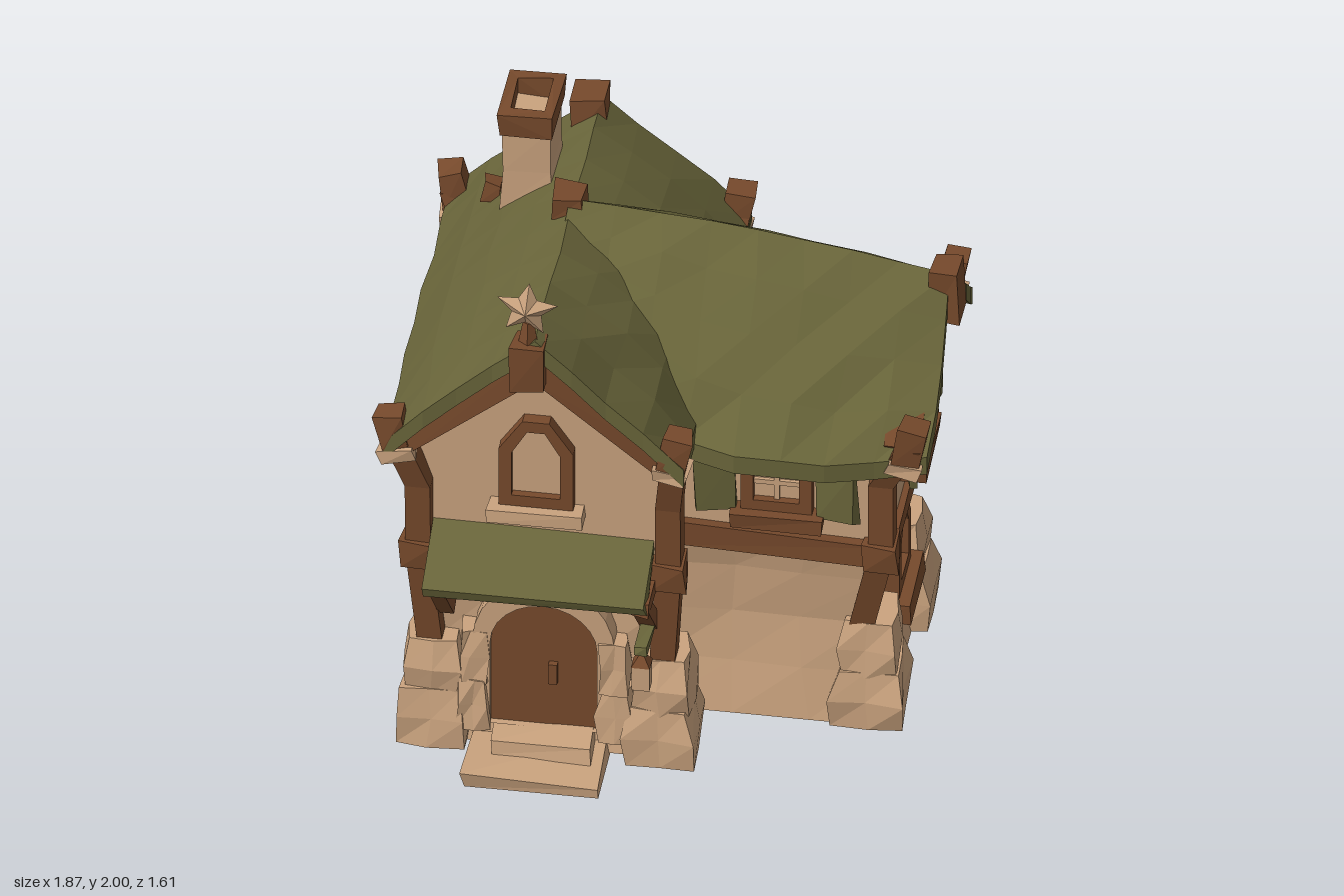
import * as THREE from 'three';

const plaster = new THREE.MeshStandardMaterial({ color: 0xcba47f });
plaster.name = 'plaster and stone';
const timber = new THREE.MeshStandardMaterial({ color: 0x774a2c });
timber.name = 'timber';
const green = new THREE.MeshStandardMaterial({ color: 0x69653a });
green.name = 'roof green';

// repeatable noise in -1..1 from a position
const noise = (x, y, z, s) => {
  const n = Math.sin(x * 127.1 + y * 311.7 + z * 74.7 + s * 53.3) * 4375.85;
  return (n - Math.floor(n)) * 2 - 1;
};

// move every vertex of a geometry by a rule
function warp(geo, rule) {
  const p = geo.attributes.position, v = new THREE.Vector3();
  for (let i = 0; i < p.count; i++) {
    rule(v.fromBufferAttribute(p, i));
    p.setXYZ(i, v.x, v.y, v.z);
  }
  return geo;
}

const roughen = (geo, a, s = 1) => warp(geo, v => {
  const [x, y, z] = [v.x, v.y, v.z].map(n => Math.round(n * 1000) / 1000);
  v.set(v.x + a * noise(x, y, z, s), v.y + a * noise(y, z, x, s + 1), v.z + a * noise(z, x, y, s + 2));
});

// faceted mesh
function add(parent, name, geo, mat, x = 0, y = 0, z = 0) {
  const flat = geo.index ? geo.toNonIndexed() : geo;
  flat.computeVertexNormals();
  const mesh = new THREE.Mesh(flat, mat);
  mesh.name = name;
  mesh.position.set(x, y, z);
  parent.add(mesh);
  return mesh;
}

const box = (w, h, d, ...seg) => new THREE.BoxGeometry(w, h, d, ...seg);

// straight bar between two points
function beam(parent, name, a, b, w, h, mat = timber) {
  const from = new THREE.Vector3(...a), to = new THREE.Vector3(...b);
  const m = add(parent, name, roughen(box(w, h, from.distanceTo(to)), 0.006, a[0]), mat);
  m.position.copy(from).lerp(to, 0.5);
  m.lookAt(to);
}

// square post that follows a bent path
function post(parent, name, path, w) {
  const n = path.length - 1;
  add(parent, name, warp(box(w, 1, w, 1, n, 1), v => {
    const [x, y, z] = path[Math.round((v.y + 0.5) * n)];
    v.set(v.x + x, y, v.z + z);
  }), timber);
}

// ground-floor wall, waisted in the middle and spreading to foot and floor beam
function lowerWall(parent, name, w, d, x, z, spread) {
  const geo = warp(box(w, 0.77, d, 4, 4, 5), v => {
    const k = 1 + spread * (v.y / 0.385) ** 2;
    v.x *= k;
    v.z *= k;
  });
  add(parent, name, warp(geo, v => {
    const r = Math.abs(v.y) < 0.38 ? 0.012 : 0;
    v.x += r * noise(v.x, v.y, v.z, 1);
    v.z += r * noise(v.z, v.x, v.y, 2);
  }), plaster, x, 0.405, z);
}

// tapered stone standing on y, its corners worn off
function stone(parent, name, x, y, z, w, h, d, taper = 0.86) {
  const geo = warp(box(w, h, d, 2, 2, 2), v => {
    const edges = [v.x, v.y, v.z].filter(n => Math.abs(n) > 0.001).length;
    const k = (v.y > 0 ? taper : 1) * (edges === 3 ? 0.92 : 1);
    v.x *= k;
    v.z *= k;
  });
  add(parent, name, warp(geo, v => {
    const r = 0.012, s = x * 7 + z * 3 + y;
    v.x += r * noise(v.x, v.y, v.z, s);
    v.z += r * noise(v.z, v.x, v.y, s);
  }), plaster, x, y + h / 2, z);
}

const polygon = pts => new THREE.Shape(pts.map(p => new THREE.Vector2(...p)));
const extrude = (shape, depth) => new THREE.ExtrudeGeometry(shape, { depth, bevelEnabled: false, curveSegments: 6 });

const archPoints = (w, h, y = 0) => [[-w / 2, y], [w / 2, y], [w / 2, y + h * 0.66],
  [w * 0.18, y + h], [-w * 0.18, y + h], [-w / 2, y + h * 0.66]];
const rectPoints = (w, h, y = 0) => [[-w / 2, y], [w / 2, y], [w / 2, y + h], [-w / 2, y + h]];

// window facing +z, bottom centre at its origin
function addWindow(parent, name, pos, turn, { w, h, arched = true, shutters = false, sill = timber, sillH = 0.06 }) {
  const g = new THREE.Group(), t = 0.043;
  g.name = name;
  const points = arched ? archPoints : rectPoints;
  const outer = polygon(points(w, h));
  outer.holes.push(polygon(points(w - 2 * t, h - 2 * t, t)));
  add(g, 'windowFrame', extrude(outer, 0.075), timber, 0, 0, -0.03);
  add(g, 'windowPane', extrude(polygon(points(w - t, h - t, t / 2)), 0.009), plaster, 0, 0, 0.008);
  if (!arched) {
    add(g, 'mullion', box(0.018, h - t, 0.02), plaster, 0, h / 2, 0.02);
    add(g, 'mullion', box(w - t, 0.018, 0.02), plaster, 0, h / 2, 0.02);
  }
  add(g, 'windowSill', roughen(box(w + 0.07, sillH, 0.11), 0.006), sill, 0, -sillH / 2, 0.03);
  if (shutters) for (const s of [-1, 1]) {
    const m = add(g, 'shutter', roughen(box(0.14, 0.21, 0.03), 0.008, s), green, s * (w / 2 + 0.085), 0.1, 0.045);
    m.rotation.y = -s * 0.3;
  }
  g.position.set(...pos);
  g.rotation.y = turn;
  parent.add(g);
}

// roof shell from a box: place(u, v) gives the top point
function roof(parent, name, place) {
  add(parent, name, warp(box(2, 1, 2, 8, 1, 8), v => {
    const [x, y, z] = place(v.x, v.z), low = v.y < 0 ? 0.07 : 0;
    const r = 0.012 * noise(v.x, 0, v.z, 4);
    v.set(x + r, y + r - low, z + r);
  }), green);
}

function starGeometry(R, r, depth) {
  const pos = [], pt = i => {
    const a = Math.PI / 2 + i * Math.PI / 5, q = i % 2 ? r : R;
    return [q * Math.cos(a), q * Math.sin(a), 0];
  };
  for (let i = 0; i < 10; i++) {
    pos.push(0, 0, depth, ...pt(i), ...pt(i + 1));
    pos.push(0, 0, -depth, ...pt(i + 1), ...pt(i));
  }
  return new THREE.BufferGeometry().setAttribute('position', new THREE.Float32BufferAttribute(pos, 3));
}

export function createModel() {
  const house = new THREE.Group();
  house.name = 'cottage';
  const H = Math.PI / 2;

  // ground floor and overhanging upper floor
  lowerWall(house, 'mainLowerWall', 0.72, 1.11, -0.37, -0.06, 0.1);
  lowerWall(house, 'sideLowerWall', 0.9, 0.66, 0.21, -0.115, 0.15);
  const gable = (half, bottom, shoulder, apex) =>
    polygon([[-half, bottom], [half, bottom], [half, shoulder], [0, apex], [-half, shoulder]]);
  add(house, 'mainUpperWall', extrude(gable(0.415, 0.75, 1.31, 1.68), 1.22), plaster, -0.38, 0, -0.68);
  const side = add(house, 'sideUpperWall', extrude(gable(0.4, 0.73, 1.2, 1.53), 1.04), plaster, -0.3, 0, -0.12);
  side.rotation.y = H;

  // roofs, sagging along the ridge and bulging in the middle
  roof(house, 'mainRoof', (u, v) => {
    const s = Math.abs(u) * (0.5 + 0.015 * Math.cos(v * H)), mid = Math.cos(v * H);
    const y = 1.75 - 0.85 * s - 0.25 * Math.max(0, s - 0.38) + 0.06 * mid * Math.sin(s * 6.2) - 0.015 * mid;
    return [-0.395 + Math.sign(u) * s, y + 0.02 * v * (1 - Math.abs(u)), -0.06 + 0.72 * v];
  });
  roof(house, 'sideRoof', (u, v) => {
    const t = (u + 1) / 2, x = -0.4 + 1.27 * t + 0.03 * t * Math.sin(Math.abs(v) * Math.PI);
    const w = (x < 0.12 ? 0.3 + (x + 0.4) * 0.52 : 0.575 - Math.max(0, x - 0.55) * 0.28) + (v < 0 ? 0.01 : -0.015);
    const s = Math.abs(v) * w, ridge = 1.78 - 0.05 * t - 0.11 * t * t;
    const y = ridge - s * (1.04 - 0.16 * t) + 0.06 * Math.sin(s * 5.6) * (1 - t * t);
    return [x, Math.max(y, 1.2), -0.13 + Math.sign(v) * s];
  });

  // corner posts with stone footings, collars and caps
  const corners = [
    [[-0.75, 0.35, 0.51], [-0.79, 0.8, 0.55], [-0.79, 1.08, 0.56], [-0.87, 1.32, 0.61]],
    [[0.02, 0.35, 0.51], [0.05, 0.8, 0.55], [0.05, 1.08, 0.56], [0.08, 1.34, 0.62]],
    [[-0.74, 0.35, -0.59], [-0.79, 0.78, -0.69], [-0.79, 1.08, -0.69], [-0.88, 1.33, -0.73]],
    [[0.02, 0.35, -0.59], [0.05, 0.78, -0.69], [0.05, 1.08, -0.69], [0.07, 1.34, -0.76]],
    [[0.63, 0.35, 0.19], [0.72, 0.76, 0.28], [0.72, 1.05, 0.28], [0.82, 1.25, 0.34]],
    [[0.63, 0.35, -0.43], [0.72, 0.76, -0.52], [0.72, 1.05, -0.52], [0.81, 1.26, -0.62]]];
  for (const path of corners) {
    const [foot, joint, , top] = path;
    post(house, 'cornerPost', path, 0.085);
    add(house, 'postJoint', roughen(box(0.115, 0.1, 0.115), 0.008), timber, ...joint);
    const band = add(house, 'postCollar', roughen(box(0.115, 0.05, 0.115), 0.008, top[0]), plaster,
      top[0] - Math.sign(top[0]) * 0.015, top[1] - 0.08, top[2] * 0.98);
    const cap = add(house, 'postCap', roughen(box(0.09, 0.14, 0.09), 0.01, top[0]), timber, top[0], top[1] + 0.01, top[2]);
    band.rotation.z = cap.rotation.z = -Math.sign(top[0]) * 0.2;
    const x = foot[0] + (foot[0] > 0.3 ? 0.035 : 0), z = foot[2] - Math.sign(foot[2]) * 0.03;
    stone(house, 'footingStone', x, 0.02, z, 0.24, 0.22, 0.27);
    stone(house, 'footingStone', x, 0.22, z, 0.19, 0.21, 0.22);
  }

  // low stone course on the blind side and the back
  for (let i = 0; i < 4; i++) stone(house, 'baseStone', -0.75, 0.02, -0.42 + i * 0.22, 0.17, 0.14 + 0.03 * (i % 2), 0.23);
  for (let i = 0; i < 3; i++) stone(house, 'baseStone', -0.57 + i * 0.2, 0.02, -0.63, 0.22, 0.13 + 0.03 * (i % 2), 0.16);

  // floor beams joining the posts, the last two running into the main wing
  for (const [a, b] of [[0, 1], [0, 2], [2, 3], [4, 5]])
    beam(house, 'floorBeam', corners[a][1], corners[b][1], 0.08, 0.085);
  for (const z of [0.28, -0.52]) {
    beam(house, 'floorBeam', [0.05, 0.78, z], [0.72, 0.76, z], 0.08, 0.085);
    beam(house, 'eaveBeam', [0.05, 1.22, z * 1.1], [0.78, 1.18, z * 1.12], 0.09, 0.06);
  }
  beam(house, 'eaveBeam', [-0.83, 1.22, 0.58], [-0.83, 1.22, -0.71], 0.08, 0.07);

  // gable boards and ridge caps
  for (const z of [0.58, -0.71]) for (const s of [-1, 1])
    beam(house, 'gableBoard', [-0.395, 1.64, z], [-0.395 + s * 0.45, 1.27, z], 0.12, 0.085);
  for (const s of [-1, 1]) beam(house, 'gableBoard', [0.79, 1.52, -0.13], [0.79, 1.2, -0.13 + s * 0.45], 0.12, 0.085);
  for (const [x, y, z, w, h] of [[-0.41, 1.68, 0.64, 0.11, 0.17], [-0.42, 1.7, -0.74, 0.12, 0.16],
    [0.87, 1.56, -0.13, 0.1, 0.19], [-0.4, 1.75, -0.16, 0.11, 0.09], [-0.71, 1.53, -0.48, 0.06, 0.07]])
    add(house, 'ridgeCap', roughen(box(w, h, w * 1.1), 0.01, x), timber, x, y, z);

  // star finial
  add(house, 'finialPole', new THREE.CylinderGeometry(0.02, 0.035, 0.08, 5), timber, -0.41, 1.8, 0.64);
  const star = add(house, 'starFinial', starGeometry(0.108, 0.053, 0.038), plaster, -0.415, 1.895, 0.65);
  star.rotation.z = -0.08;

  // chimney with an open, timber-rimmed top
  add(house, 'chimneyShaft', roughen(warp(box(0.19, 0.5, 0.25, 1, 3, 1), v => {
    const k = 0.9 - v.y * 0.25;
    v.x *= k;
    v.z *= k;
  }), 0.006), plaster, -0.575, 1.63, -0.46);
  const rim = polygon([[-0.092, -0.13], [0.092, -0.13], [0.092, 0.13], [-0.092, 0.13]]);
  rim.holes.push(polygon([[-0.06, -0.09], [0.06, -0.09], [0.06, 0.09], [-0.06, 0.09]]));
  add(house, 'chimneyRim', roughen(extrude(rim, 0.09).rotateX(-H), 0.006), timber, -0.575, 1.86, -0.46);

  // arched door in a stone surround
  const arch = (w, straight, h) => {
    const s = new THREE.Shape();
    s.moveTo(-w / 2, 0).lineTo(w / 2, 0).lineTo(w / 2, straight);
    s.absellipse(0, straight, w / 2, h - straight, 0, Math.PI, false);
    return s;
  };
  const surround = arch(0.48, 0.33, 0.6);
  surround.holes.push(arch(0.36, 0.33, 0.5));
  add(house, 'doorSurround', extrude(surround, 0.1), plaster, -0.37, 0.12, 0.48);
  add(house, 'door', extrude(arch(0.37, 0.33, 0.505), 0.05), timber, -0.37, 0.12, 0.505);
  add(house, 'doorHandle', box(0.03, 0.08, 0.025), timber, -0.34, 0.34, 0.565);
  for (const s of [-1, 1]) {
    stone(house, 'doorJambStone', -0.37 + s * 0.235, 0.1, 0.54, 0.11, 0.2, 0.13);
    stone(house, 'doorJambStone', -0.37 + s * 0.235, 0.29, 0.54, 0.1, 0.2, 0.11);
  }

  // steps
  add(house, 'lowerStep', roughen(box(0.45, 0.05, 0.28), 0.01), plaster, -0.385, 0.035, 0.66);
  add(house, 'upperStep', roughen(box(0.33, 0.06, 0.18), 0.01), plaster, -0.37, 0.09, 0.59);

  // canopy on timber brackets
  beam(house, 'canopy', [-0.375, 0.895, 0.53], [-0.375, 0.775, 0.77], 0.75, 0.035, green);
  for (const x of [-0.7, -0.02]) {
    beam(house, 'canopyStrut', [x, 0.55, 0.52], [x, 0.77, 0.72], 0.055, 0.055);
    beam(house, 'canopyArm', [x, 0.77, 0.5], [x, 0.77, 0.75], 0.055, 0.05);
  }

  // hanging lantern
  beam(house, 'lanternArm', [-0.02, 0.585, 0.55], [-0.02, 0.585, 0.73], 0.05, 0.03, green);
  add(house, 'lantern', box(0.06, 0.095, 0.06), plaster, -0.02, 0.475, 0.705);
  add(house, 'lanternTop', new THREE.ConeGeometry(0.045, 0.05, 4, 1).rotateY(Math.PI / 4), timber, -0.02, 0.545, 0.705);

  // windows on every side
  const pointed = { w: 0.25, h: 0.35, sill: plaster, sillH: 0.05 };
  const shuttered = { w: 0.25, h: 0.27, shutters: true };
  const square = { w: 0.24, h: 0.22, arched: false, shutters: true, sillH: 0.05 };
  const low = { w: 0.24, h: 0.3, sillH: 0.075 };
  addWindow(house, 'frontGableWindow', [-0.395, 1.03, 0.54], 0, pointed);
  addWindow(house, 'backGableWindow', [-0.395, 1.03, -0.68], Math.PI, pointed);
  addWindow(house, 'sideGableWindow', [0.74, 0.93, -0.125], H, shuttered);
  addWindow(house, 'blindSideWindow', [-0.795, 0.92, -0.1], -H, shuttered);
  addWindow(house, 'sideFrontWindow', [0.37, 0.91, 0.28], 0, square);
  addWindow(house, 'sideBackWindow', [0.38, 0.91, -0.52], Math.PI, square);
  addWindow(house, 'sideLowerWindow', [0.685, 0.35, -0.13], H, low);
  addWindow(house, 'blindLowerWindow', [-0.75, 0.35, -0.1], -H, low);
  addWindow(house, 'backLowerWindow', [-0.37, 0.35, -0.635], Math.PI, low);

  return house;
}
